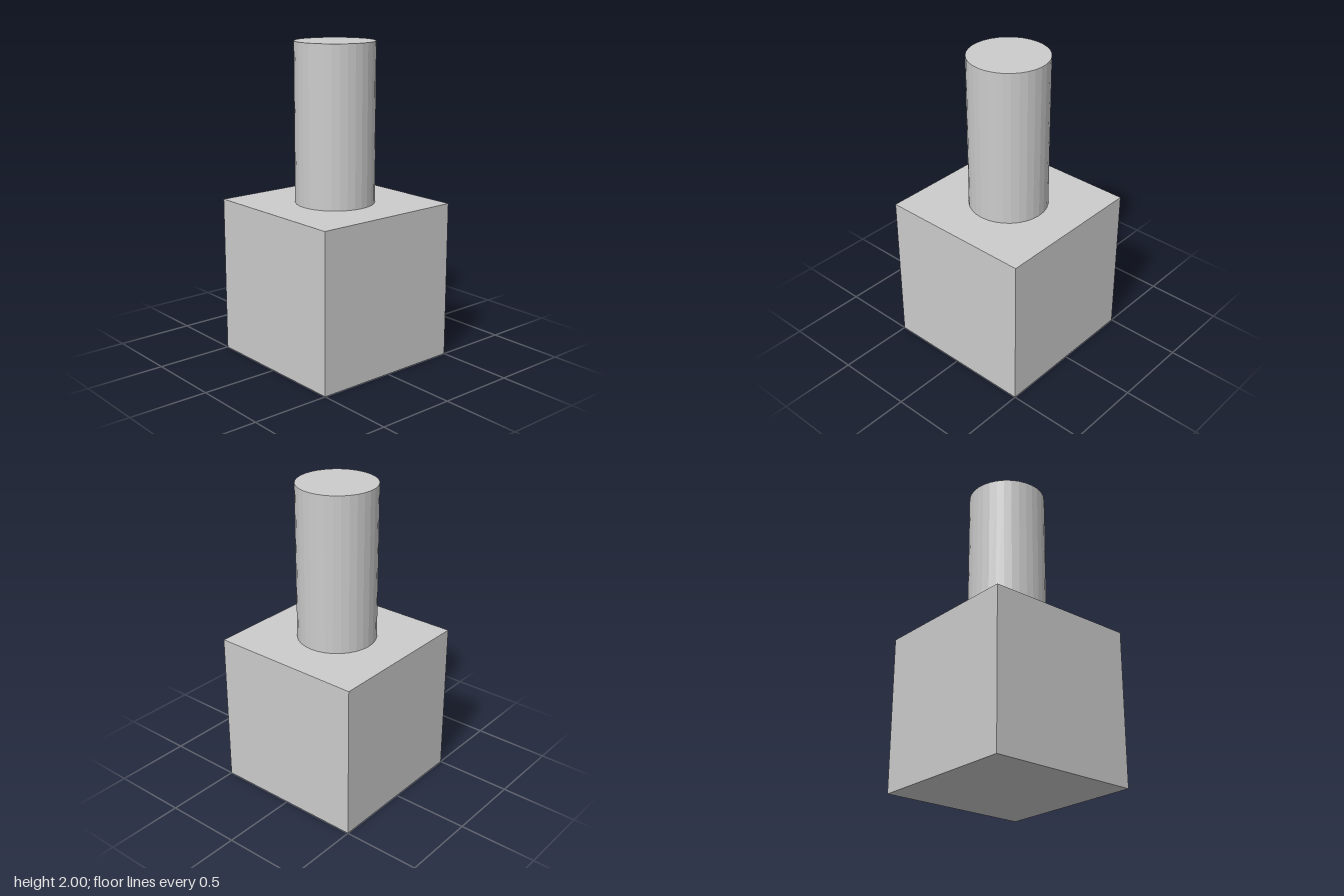
import * as THREE from 'three';

export function createModel() {
  const group = new THREE.Group();
  const material = new THREE.MeshStandardMaterial({ color: 0xcccccc, flatShading: true });

  const add = (name, geometry, y) => {
    const mesh = new THREE.Mesh(geometry, material);
    mesh.name = name;
    mesh.position.y = y;
    group.add(mesh);
  };

  // Cubic base standing on the ground
  add('base', new THREE.BoxGeometry(1, 1, 1), 0.5);

  // Faceted round post centred on top of the base
  add('post', new THREE.CylinderGeometry(0.25, 0.25, 1, 32), 1.5);

  return group;
}
